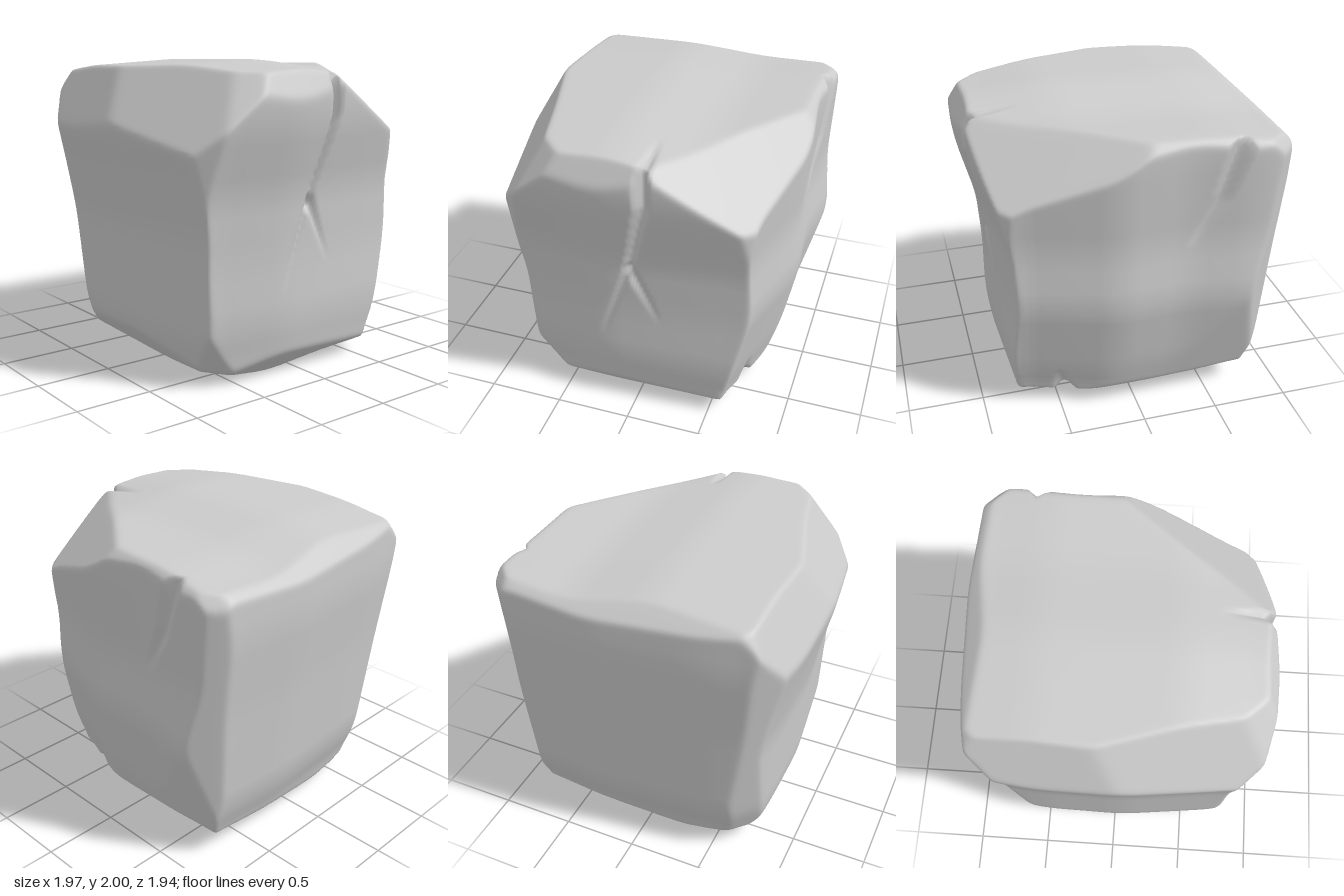
import * as THREE from 'three';
import { mergeVertices } from 'three/addons/utils/BufferGeometryUtils.js';

// Piecewise straight profile through [position, value] points
function profile(points, t) {
  let i = 0;
  while (i < points.length - 2 && t > points[i + 1][0]) i++;
  const [a, va] = points[i];
  const [b, vb] = points[i + 1];
  return THREE.MathUtils.lerp(va, vb, THREE.MathUtils.clamp((t - a) / (b - a), 0, 1));
}

// The same profile with its bends worn round
function wornProfile(points, t) {
  let sum = 0;
  for (let k = -2; k <= 2; k++) sum += profile(points, t + k * 0.05);
  return sum / 5;
}

// Depth of a V-shaped crack that narrows and fades along its path
function crackDepth({ path, width, depth }, u, v) {
  let deepest = 0;
  for (let i = 0; i < path.length - 1; i++) {
    const [u0, v0] = path[i];
    const du = path[i + 1][0] - u0, dv = path[i + 1][1] - v0;
    const t = THREE.MathUtils.clamp(((u - u0) * du + (v - v0) * dv) / (du * du + dv * dv), 0, 1);
    const dist = Math.hypot(u - u0 - t * du, v - v0 - t * dv);
    const left = 1 - (i + t) / (path.length - 1);
    deepest = Math.max(deepest, depth * left * (1 - dist / (width * (0.4 + 0.6 * left))));
  }
  return deepest;
}

// A rough face: its distance out along an axis is the sum of a profile along each side
function roughFace(axis, sign, [u, v], alongU, alongV, cracks = [], twist = 0) {
  return (p) => {
    const a = p[u], b = p[v];
    let d = sign * p[axis] - wornProfile(alongU, a) - wornProfile(alongV, b) - twist * a * b;
    for (const crack of cracks) d += crackDepth(crack, a, b);
    return d;
  };
}

// A flat chip off an edge or corner, on the plane x nx + y ny + z nz = offset
function chip(nx, ny, nz, offset) {
  const length = Math.hypot(nx, ny, nz);
  return (p) => (p.x * nx + p.y * ny + p.z * nz - offset) / length;
}

const front = roughFace('z', 1, ['x', 'y'],
  [[-0.8, -0.05], [-0.5, -0.01], [0.05, 0], [0.8, -0.09]],
  [[0.1, 0.77], [0.3, 0.825], [0.95, 0.845], [1.3, 0.915], [1.6, 0.985], [1.9, 0.99]]);

const right = roughFace('x', 1, ['z', 'y'],
  [[-0.7, -0.035], [-0.1, -0.01], [0.2, 0], [0.7, -0.08]],
  [[0.1, 0.8], [0.4, 0.845], [0.8, 0.835], [1.2, 0.855], [1.65, 0.97], [1.9, 0.985]],
  [
    { path: [[-0.11, 2.05], [-0.11, 1.65], [0.03, 1.1], [0.215, 0.57]], width: 0.055, depth: 0.12 },
    { path: [[0.01, 1.13], [-0.18, 0.72]], width: 0.045, depth: 0.04 },
  ], 0.045);

const left = roughFace('x', -1, ['z', 'y'],
  [[-0.8, -0.03], [-0.25, 0.005], [0.45, -0.04], [0.8, -0.09]],
  [[0.1, 0.77], [0.4, 0.88], [1.1, 0.93], [1.6, 0.985], [1.9, 0.98]]);

const back = roughFace('z', -1, ['x', 'y'],
  [[-0.7, 0.03], [-0.3, -0.06], [0.15, -0.05], [0.75, -0.26]],
  [[0.1, 0.82], [0.3, 0.88], [0.86, 0.985], [1.25, 0.945], [1.85, 0.99]],
  [
    { path: [[-0.64, 2.05], [-0.48, 1.55], [-0.3, 1.22]], width: 0.09, depth: 0.09 },
    { path: [[0.46, 0], [0.5, 0.3]], width: 0.07, depth: 0.1 },
  ], 0.05);

const top = roughFace('y', 1, ['x', 'z'],
  [[-0.9, -0.07], [-0.5, -0.02], [0.4, 0], [0.9, -0.05]],
  [[-0.85, 1.965], [-0.4, 1.945], [0.1, 2.01], [0.8, 1.975]],
  [{ path: [[1, -0.12], [0.6, -0.12]], width: 0.05, depth: 0.06 }]);

const bottom = roughFace('y', -1, ['x', 'z'],
  [[-0.75, -0.06], [0.2, 0.005], [0.7, -0.01]],
  [[-0.75, -0.1], [-0.2, -0.06], [0.2, 0.005], [0.7, -0.08]],
  [{ path: [[0.46, -0.85], [0.4, 0]], width: 0.07, depth: 0.1 }]);

const uprightChips = [
  chip(1, -0.13, 1, 1.45), chip(-1, -0.2, 1, 1.36),
  chip(-1, -0.12, -1, 1.58), chip(1, -0.05, -1, 1.48),
];
const rimChips = [
  chip(0.041, 0.095, 0.145, 0.297), chip(-0.013, 0.074, 0.15, 0.266),
  chip(-1, 1.2, 0, 3.168), chip(1, 0.5, 0, 1.88), chip(0, 1, -1, 2.82),
];
const baseChips = [
  chip(0, -0.75, 1, 0.625), chip(-1, -0.8, 0, 0.686), chip(1, -0.85, 0, 0.671),
  chip(0, -1, -0.8, 0.48), chip(-0.018, -0.206, -0.654, 0.479),
];
const cornerChips = [
  chip(1, 1, 1, 3.27), chip(-1, 1, 1, 3.5), chip(-1, 1, -1, 3.61), chip(0.225, 0.382, -0.279, 0.977),
  chip(-1, -0.5, 1, 1.26), chip(1, -0.8, 1, 1.22),
];
const SURFACES = [front, right, left, back, top, bottom,
  ...uprightChips, ...rimChips, ...baseChips, ...cornerChips];

// True outside the stone; the surfaces meet in slightly worn edges
function isOutside(p) {
  const wear = 0.007;
  return SURFACES.reduce((sum, surface) => sum + Math.exp(surface(p) / wear), 0) > 1;
}

// Push every point of a fine cube along its ray to the stone's surface
function stoneGeometry(divisions) {
  const cube = new THREE.BoxGeometry(2, 2, 2, divisions, divisions, divisions);
  cube.deleteAttribute('uv');
  cube.deleteAttribute('normal');
  const geometry = mergeVertices(cube);
  geometry.clearGroups();
  const pos = geometry.attributes.position;
  const centre = new THREE.Vector3(0, 1, 0);
  const ray = new THREE.Vector3(), p = new THREE.Vector3();
  for (let i = 0; i < pos.count; i++) {
    ray.fromBufferAttribute(pos, i);
    let near = 0.4, far = 1.2;
    for (let k = 0; k < 18; k++) {
      const mid = (near + far) / 2;
      p.copy(centre).addScaledVector(ray, mid);
      if (isOutside(p)) far = mid; else near = mid;
    }
    pos.setXYZ(i, p.x, p.y, p.z);
  }
  geometry.computeVertexNormals();
  return geometry;
}

export function createModel() {
  const group = new THREE.Group();
  group.name = 'stoneBlock';
  const stone = new THREE.Mesh(stoneGeometry(90), new THREE.MeshStandardMaterial({ color: 0xcccccc }));
  stone.name = 'crackedStone';
  group.add(stone);
  return group;
}
